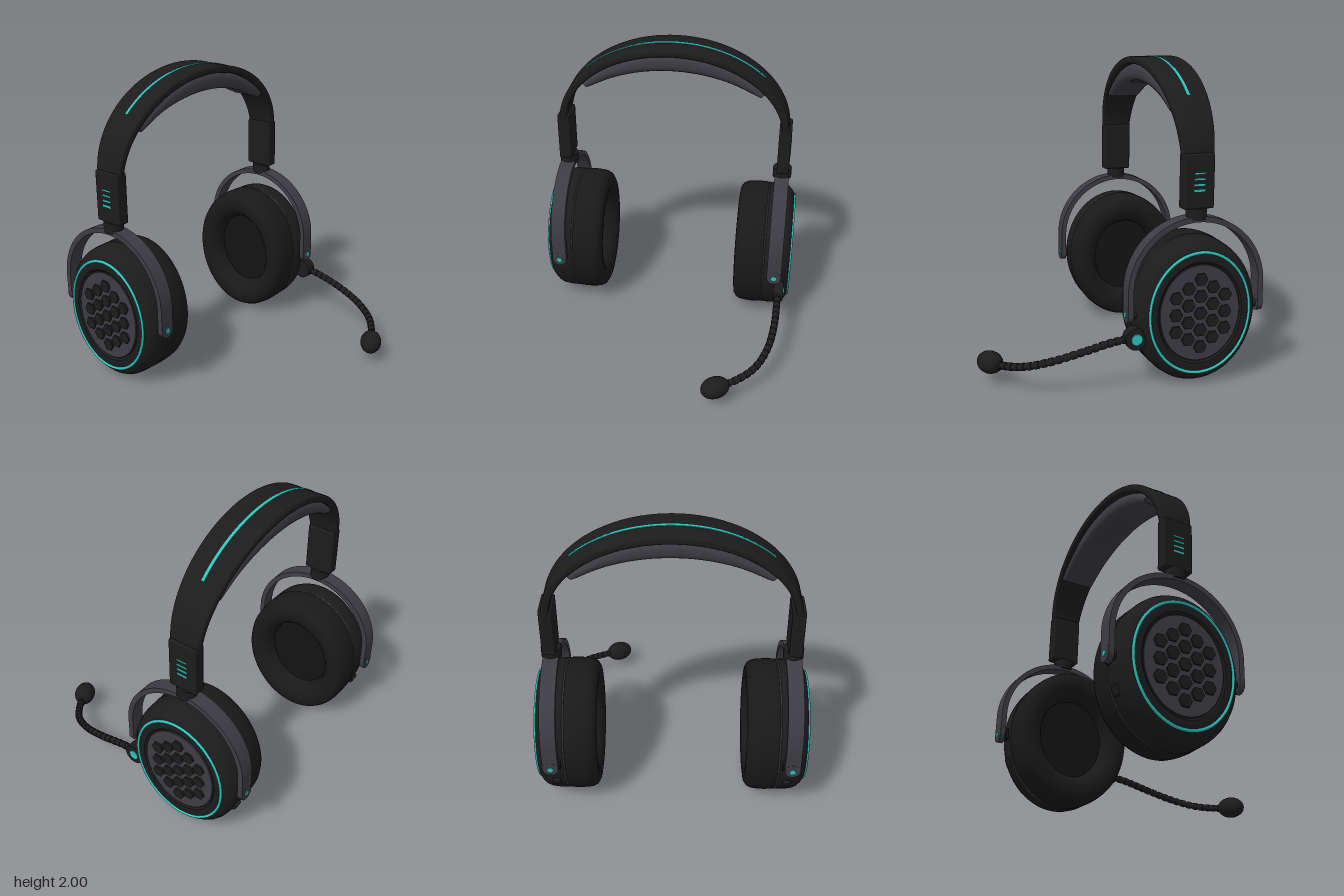
import * as THREE from 'three';
import { toCreasedNormals } from 'three/addons/utils/BufferGeometryUtils.js';
import { RoundedBoxGeometry } from 'three/addons/geometries/RoundedBoxGeometry.js';

const mat = (name, color) => Object.assign(new THREE.MeshStandardMaterial({ color }), { name });
const black = mat('matte black', 0x1c1c1c);
const cushionBlack = mat('cushion black', 0x191919);
const lining = mat('lining black', 0x131313);
const grey = mat('slate grey', 0x3d3c43);
const teal = mat('teal accent', 0x2ec4bc);

const SQUASH = 0.857; // ear cups are narrower front to back
const CUP_Y = 0.474;
const MID_Z = -0.432;

function add(parent, name, geo, material, x = 0, y = 0, z = 0) {
  const mesh = new THREE.Mesh(geo, material);
  mesh.name = name;
  mesh.position.set(x, y, z);
  parent.add(mesh);
  return mesh;
}

// Solid of revolution about x, squashed in z; points are [radius, x]
function cupLathe(points) {
  const geo = new THREE.LatheGeometry(points.map(([r, x]) => new THREE.Vector2(r, x)), 64);
  geo.rotateZ(-Math.PI / 2).scale(1, 1, SQUASH);
  return toCreasedNormals(geo, 0.6);
}

const xDisc = (r, depth, sides = 32) => new THREE.CylinderGeometry(r, r, depth, sides).rotateZ(-Math.PI / 2);
const zDisc = (r, depth) => new THREE.CylinderGeometry(r, r, depth, 28).rotateX(Math.PI / 2);
const cupRing = (r, tube) => new THREE.TorusGeometry(r, tube, 10, 72).rotateY(Math.PI / 2).scale(1, 1, SQUASH);

// Rounded bar swept along the headband arch; offset, width and height depend on the angle
function archSweep(from, offset, width, height, round) {
  const steps = 48, pos = [], idx = [], corner = 5, n = corner * 4;
  for (let i = 0; i <= steps; i++) {
    const t = from + (Math.PI - 2 * from) * i / steps;
    const nx = Math.cos(t) / 0.775, ny = Math.sin(t) / 0.575, len = Math.hypot(nx, ny);
    const w = width(t) / 2, h = height(t) / 2, r = Math.min(round, h * 0.95, w * 0.95);
    for (let q = 0; q < 4; q++) {
      for (let k = 0; k < corner; k++) {
        const a = (q + k / (corner - 1)) * Math.PI / 2;
        const u = (q === 0 || q === 3 ? 1 : -1) * (w - r) + Math.cos(a) * r;
        const v = (q < 2 ? 1 : -1) * (h - r) + Math.sin(a) * r + offset(t);
        pos.push(0.775 * Math.cos(t) + nx / len * v, 1.4 + 0.575 * Math.sin(t) + ny / len * v, u);
      }
    }
  }
  for (let i = 0; i < steps; i++) {
    for (let j = 0; j < n; j++) {
      const a = i * n + j, b = i * n + (j + 1) % n;
      idx.push(a, b, b + n, a, b + n, a + n);
    }
  }
  const last = steps * n;
  for (let j = 1; j < n - 1; j++) {
    idx.push(0, j + 1, j, last, last + j, last + j + 1);
  }
  const geo = new THREE.BufferGeometry();
  geo.setAttribute('position', new THREE.Float32BufferAttribute(pos, 3));
  geo.setIndex(idx);
  return toCreasedNormals(geo, 0.6);
}

function headband() {
  const g = new THREE.Group();
  g.name = 'headband';
  add(g, 'band', archSweep(0, () => 0, t => 0.2 + 0.1 * Math.sin(t), () => 0.05, 0.015), black);
  const padHeight = t => 0.035 + 0.085 * Math.pow((Math.sin(t) - 0.56) / 0.44, 0.6);
  add(g, 'headPad', archSweep(0.61, t => -0.02 - padHeight(t) / 2, t => 0.19 + 0.07 * Math.sin(t), padHeight, 0.045), grey);
  add(g, 'topStripe', archSweep(0.694, () => 0.025, () => 0.02, () => 0.006, 0.001), teal);
  return g;
}

// Yoke arch in the side plane, extruded across x
function yokeGeometry() {
  const s = new THREE.Shape();
  s.moveTo(0.45, CUP_Y);
  s.lineTo(0.45, 0.62);
  s.absarc(0, 0.62, 0.45, 0, Math.PI, false);
  s.lineTo(-0.45, CUP_Y);
  s.lineTo(-0.415, CUP_Y);
  s.lineTo(-0.415, 0.62);
  s.absarc(0, 0.62, 0.415, Math.PI, 0, true);
  s.lineTo(0.415, CUP_Y);
  const geo = new THREE.ExtrudeGeometry(s, { depth: 0.1, bevelEnabled: false, curveSegments: 40 });
  geo.translate(0, 0, -0.05).rotateY(Math.PI / 2);
  return toCreasedNormals(geo, 0.6);
}

// One side, with +x pointing outwards; back is the local z sign of the rear
function earSide(name, back) {
  const g = new THREE.Group();
  g.name = name;

  // Slider, markings and collar
  add(g, 'slider', new RoundedBoxGeometry(0.085, 0.34, 0.2, 3, 0.012), black, 0.773, 1.285, 0);
  [1.335, 1.3, 1.265, 1.23].forEach((y, i) =>
    add(g, 'sliderMark', new THREE.BoxGeometry(0.008, 0.007 + i * 0.002, 0.07), teal, 0.815, y, 0));
  add(g, 'collar', new THREE.CylinderGeometry(0.065, 0.065, 0.07, 32), black, 0.77, 1.085, 0);

  // Yoke and pivots
  add(g, 'yoke', yokeGeometry(), grey, 0.77, 0, 0);
  for (const s of [-1, 1]) {
    add(g, 'yokeEnd', zDisc(0.05, 0.037), grey, 0.77, CUP_Y, s * 0.4325);
    add(g, 'pivot', zDisc(0.03, 0.08), black, 0.77, CUP_Y, s * 0.405);
    add(g, 'pivotCap', zDisc(0.018, 0.008), teal, 0.77, CUP_Y, s * 0.453);
  }

  // Cup
  const cup = new THREE.Group();
  cup.name = 'earCup';
  cup.position.y = CUP_Y;
  g.add(cup);
  add(cup, 'cushion', cupLathe([
    [0.265, 0.6], [0.27, 0.56], [0.285, 0.525], [0.31, 0.498], [0.345, 0.483], [0.38, 0.48],
    [0.415, 0.485], [0.442, 0.501], [0.458, 0.53], [0.464, 0.57], [0.467, 0.62], [0.465, 0.67], [0.457, 0.688]]), cushionBlack);
  add(cup, 'lining', cupLathe([[0, 0.59], [0.275, 0.59]]), lining);
  add(cup, 'piping', cupRing(0.459, 0.006), grey, 0.69);
  add(cup, 'shell', cupLathe([
    [0.44, 0.688], [0.459, 0.692], [0.464, 0.705], [0.463, 0.76], [0.457, 0.8], [0.442, 0.832], [0.418, 0.856],
    [0.39, 0.872], [0.34, 0.876], [0.325, 0.874], [0.312, 0.862], [0, 0.862]]), black);
  add(cup, 'accentRing', cupRing(0.384, 0.01), teal, 0.873);
  add(cup, 'grillePlate', xDisc(0.305, 0.02, 64).scale(1, 1, SQUASH), grey, 0.86);
  for (let q = -2; q <= 2; q++) {
    const count = 5 - Math.abs(q);
    for (let k = 0; k < count; k++) {
      add(cup, 'grilleHexagon', xDisc(0.043, 0.02, 6), black, 0.873, (k - (count - 1) / 2) * 0.108, q * 0.0805);
    }
  }

  // Rear controls
  add(cup, 'volumeDial', xDisc(0.045, 0.04), black, 0.73, 0, back * 0.372);
  for (let i = -3; i <= 3; i++) {
    const a = i * 0.3;
    add(cup, 'dialRib', new THREE.BoxGeometry(0.04, 0.005, 0.008), black,
      0.73, Math.sin(a) * 0.046, back * (0.372 + Math.cos(a) * 0.046)).rotation.x = -back * a;
  }
  add(cup, 'button', new RoundedBoxGeometry(0.05, 0.065, 0.04, 2, 0.008), black, 0.75, -0.185, back * 0.358)
    .rotation.x = back * 0.4;
  return g;
}

function microphone() {
  const g = new THREE.Group();
  g.name = 'microphone';
  add(g, 'boomHinge', xDisc(0.07, 0.07), black, 0.808, 0.335, -0.03);
  add(g, 'hingeCap', xDisc(0.034, 0.008), teal, 0.845, 0.335, -0.03);
  const path = new THREE.CatmullRomCurve3([
    [0.805, 0.335, -0.01], [0.805, 0.318, 0.12], [0.798, 0.275, 0.3], [0.765, 0.225, 0.48],
    [0.69, 0.18, 0.63], [0.57, 0.15, 0.735], [0.45, 0.135, 0.8]].map(p => new THREE.Vector3(...p)));
  add(g, 'boom', new THREE.TubeGeometry(path, 64, 0.02, 12), black);
  const up = new THREE.Vector3(0, 1, 0);
  for (let i = 1; i < 20; i++) {
    const p = path.getPointAt(i / 21);
    add(g, 'boomSleeve', new THREE.CylinderGeometry(0.025, 0.025, 0.03, 14), black, p.x, p.y, p.z)
      .quaternion.setFromUnitVectors(up, path.getTangentAt(i / 21));
  }
  add(g, 'micHead', new THREE.SphereGeometry(1, 32, 20).scale(0.072, 0.098, 0.072), black, 0.448, 0.137, 0.803)
    .quaternion.setFromUnitVectors(up, new THREE.Vector3(-0.88, -0.08, 0.47).normalize());
  return g;
}

export function createModel() {
  const model = new THREE.Group();
  model.name = 'headset';
  const band = headband();
  const left = earSide('leftSide', -1);
  const right = earSide('rightSide', 1);
  right.rotation.y = Math.PI;
  for (const part of [band, left, right]) {
    part.position.z = MID_Z;
    model.add(part);
  }
  model.add(microphone());
  return model;
}
